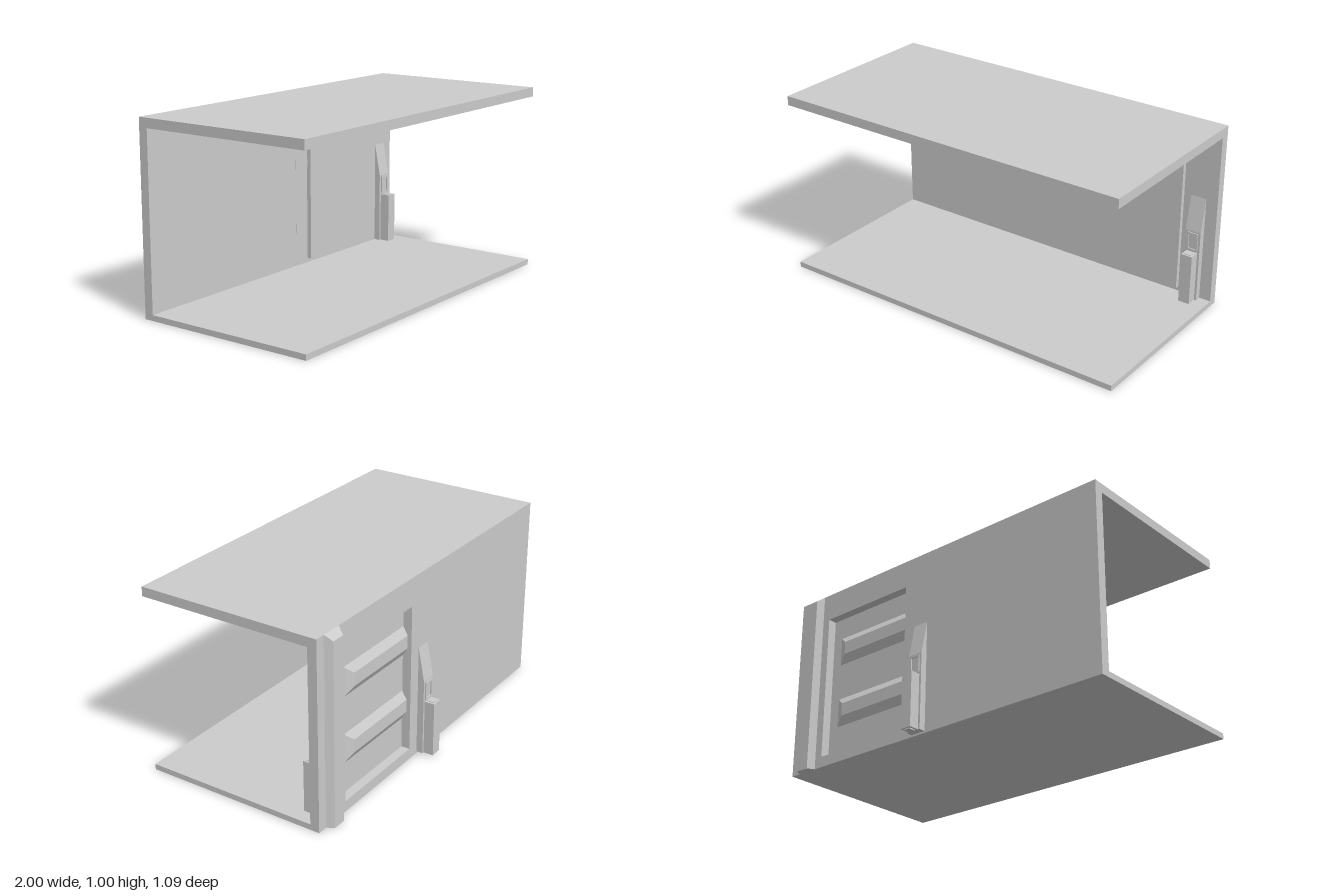
import * as THREE from 'three';

const grey = new THREE.MeshStandardMaterial({ color: 0xcccccc, flatShading: true });
const greyOpen = new THREE.MeshStandardMaterial({ color: 0xcccccc, flatShading: true, side: THREE.DoubleSide });

function add(parent, name, geometry, material = grey) {
  const mesh = new THREE.Mesh(geometry, material);
  mesh.name = name;
  parent.add(mesh);
  return mesh;
}

// Box given by its limits on each axis
function block(x0, x1, y0, y1, z0, z1) {
  return new THREE.BoxGeometry(x1 - x0, y1 - y0, z1 - z0)
    .translate((x0 + x1) / 2, (y0 + y1) / 2, (z0 + z1) / 2);
}

// Box whose -z face is drawn in by the given amounts on each side
function taperedBlock(x0, x1, y0, y1, z0, z1, inset) {
  const g = block(x0, x1, y0, y1, z0, z1);
  const p = g.attributes.position;
  const xm = (x0 + x1) / 2, ym = (y0 + y1) / 2, zm = (z0 + z1) / 2;
  for (let i = 0; i < p.count; i++) {
    if (p.getZ(i) > zm) continue;
    p.setX(i, p.getX(i) + (p.getX(i) < xm ? inset.left : -inset.right));
    p.setY(i, p.getY(i) + (p.getY(i) < ym ? inset.bottom : -inset.top));
  }
  g.computeVertexNormals();
  return g;
}

function rectPath(path, x0, x1, y0, y1) {
  path.moveTo(x0, y0);
  path.lineTo(x1, y0);
  path.lineTo(x1, y1);
  path.lineTo(x0, y1);
  path.closePath();
  return path;
}

// Rectangular plate with a rectangular hole, extruded along +z
function framedPlate(outer, hole, depth) {
  const shape = rectPath(new THREE.Shape(), ...outer);
  shape.holes.push(rectPath(new THREE.Path(), ...hole));
  return new THREE.ExtrudeGeometry(shape, { depth, bevelEnabled: false });
}

// Door control post; local z = 0 is the wall face and +z points away from it
function controlPost(name) {
  const post = new THREE.Group();
  post.name = name;

  // Backing plate, sloping into the wall at the top
  const side = new THREE.Shape([[0, 0.01], [0.035, 0.01], [0.035, 0.42], [0, 0.6]]
    .map(([z, y]) => new THREE.Vector2(z, y)));
  const plate = new THREE.ExtrudeGeometry(side, { depth: 0.085, bevelEnabled: false });
  plate.rotateY(-Math.PI / 2).translate(0.0425, 0, 0);
  add(post, 'backingPlate', plate);

  // Pedestal with small caps above and below
  add(post, 'pedestal', block(-0.031, 0.031, 0.01, 0.304, 0.035, 0.09));
  add(post, 'pedestalCap', block(-0.019, 0.019, 0.304, 0.307, 0.043, 0.081));
  add(post, 'pedestalFoot', block(-0.019, 0.019, 0.004, 0.01, 0.043, 0.081));

  // Shallow raised frame above the pedestal
  const frame = framedPlate([-0.03, 0.03, 0.31, 0.412], [-0.021, 0.021, 0.322, 0.4], 0.007);
  add(post, 'panelFrame', frame.translate(0, 0, 0.034));
  return post;
}

export function createModel() {
  const model = new THREE.Group();
  model.name = 'corridorSection';

  // Floor, ceiling and the wall with its door opening
  add(model, 'floor', block(-1, 1, 0, 0.03, -0.455, 0.545));
  add(model, 'ceiling', block(-1, 1, 0.95, 1, -0.455, 0.545));
  const wall = framedPlate([-1, 1, 0.03, 0.95], [0.212, 0.785, 0.058, 0.85], 0.05);
  add(model, 'wall', wall.translate(0, 0, -0.455));

  // Door leaf on the inner face, with two raised ribs on its outer side
  const door = new THREE.Group();
  door.name = 'door';
  model.add(door);
  add(door, 'doorLeaf', block(0.21, 0.81, 0.055, 0.855, -0.407, -0.38));
  for (const y of [0.215, 0.57]) {
    const rib = taperedBlock(0.11, 0.735, y, y + 0.17, -0.433, -0.403,
      { left: 0, right: 0.06, bottom: 0.05, top: 0.05 });
    add(door, 'doorRib', rib, greyOpen);
  }

  // Tapered pilaster on the outer face near the end
  add(model, 'pilaster', taperedBlock(0.83, 0.945, 0, 1, -0.492, -0.455,
    { left: 0.02, right: 0.02, bottom: 0, top: 0.03 }));

  // One control post inside, one outside
  const inner = controlPost('innerControlPost');
  inner.position.set(0.893, 0, -0.405);
  const outer = controlPost('outerControlPost');
  outer.position.set(0.1, 0, -0.455);
  outer.rotation.y = Math.PI;
  model.add(inner, outer);

  return model;
}
